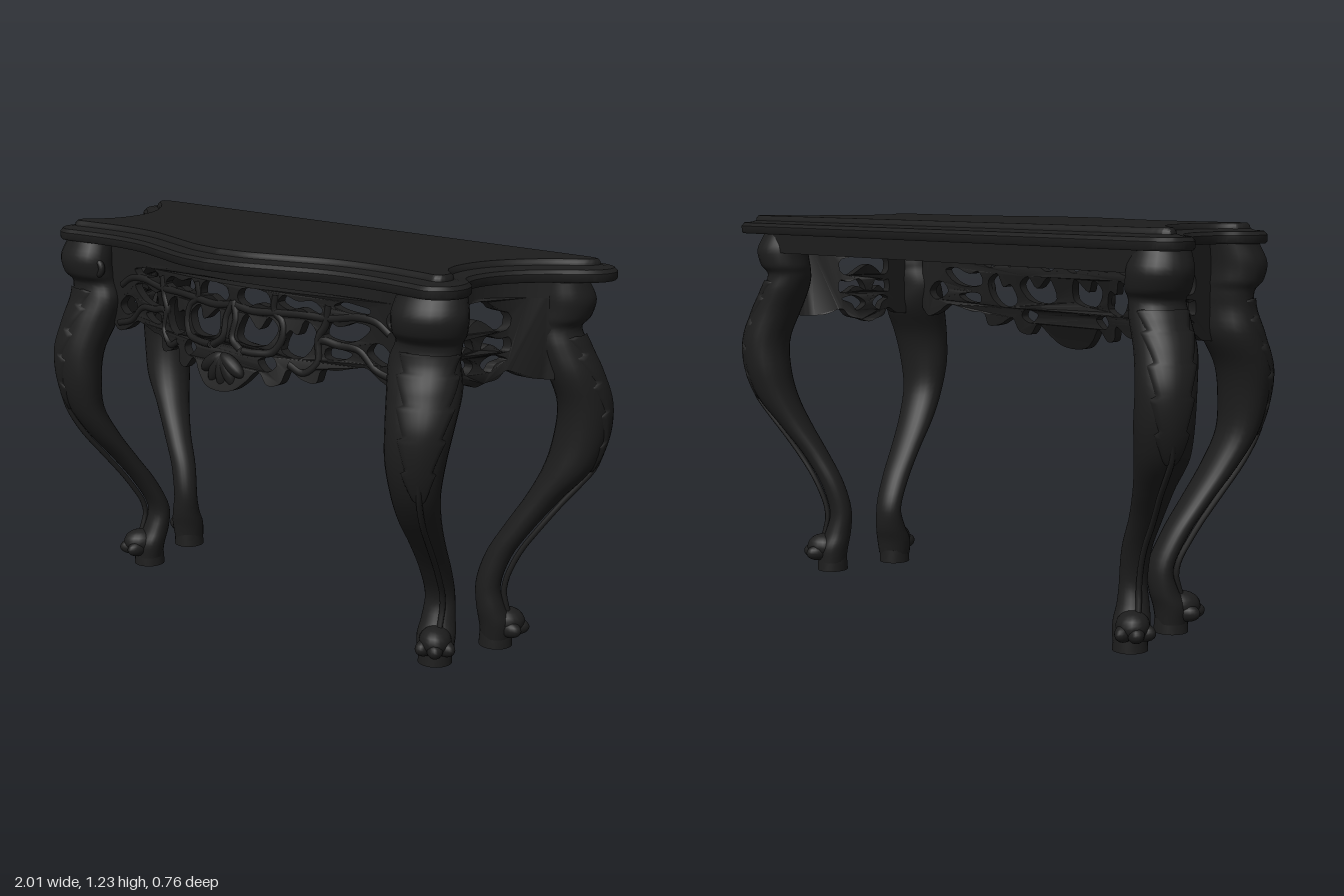
import * as THREE from 'three';
import { toCreasedNormals } from 'three/addons/utils/BufferGeometryUtils.js';

const V3 = (x, y, z) => new THREE.Vector3(x, y, z);
const V2 = (p) => new THREE.Vector2(p[0], p[1]);

// Surface through rings of points, ordered bottom to top
function loft(rings, closed = true) {
  const n = rings[0].length, pos = [], idx = [];
  rings.forEach((r) => r.forEach((p) => pos.push(p.x, p.y, p.z)));
  for (let i = 0; i < rings.length - 1; i++) {
    for (let j = 0; j < (closed ? n : n - 1); j++) {
      const a = i * n + j, b = i * n + ((j + 1) % n);
      idx.push(a, a + n, b, b, a + n, b + n);
    }
  }
  const g = new THREE.BufferGeometry();
  g.setAttribute('position', new THREE.Float32BufferAttribute(pos, 3));
  g.setIndex(idx);
  g.computeVertexNormals();
  return g;
}

// Mirror across x, keeping faces outward
function mirrored(geo) {
  const g = geo.index ? geo.toNonIndexed() : geo.clone();
  g.scale(-1, 1, 1);
  for (const a of Object.values(g.attributes)) {
    const s = a.itemSize;
    for (let i = 0; i < a.count; i += 3) {
      for (let k = 0; k < s; k++) {
        const u = (i + 1) * s + k, w = (i + 2) * s + k;
        [a.array[u], a.array[w]] = [a.array[w], a.array[u]];
      }
    }
  }
  return g;
}

// Smooth path or closed hole through flat points
const smooth2 = (pts, closed, n) =>
  new THREE.CatmullRomCurve3(pts.map((p) => V3(p[0], p[1], 0)), closed).getPoints(n).map((p) => new THREE.Vector2(p.x, p.y));
const flip = (pts) => pts.map(([x, y]) => [-x, y]).reverse();

// Apron, symmetric about x = 0 and bent by a placing rule: pierced lattice below a plain band
const BAND = 1.122, DEPTH = 0.03;
function apronParts(half, lower, holes, middle, place) {
  const across = Array.from({ length: 41 }, (_, i) => half - (i / 20) * half);
  const edge = smooth2([...flip(lower), ...lower.slice(1)], false, 120);
  const shape = new THREE.Shape([...edge, ...across.map((x) => new THREE.Vector2(x, BAND))]);
  for (const h of [...holes, ...holes.map(flip), ...middle]) shape.holes.push(new THREE.Path(smooth2(h, true, 28).slice(0, -1)));
  const lattice = new THREE.ExtrudeGeometry(shape, { depth: DEPTH, bevelEnabled: false });
  const p = lattice.attributes.position;
  for (let i = 0; i < p.count; i++) p.setXYZ(i, ...place(p.getX(i), p.getY(i), p.getZ(i)));
  lattice.computeVertexNormals();
  const bandRing = (y) => [
    ...across.map((x) => V3(...place(x, y, DEPTH))),
    ...across.slice().reverse().map((x) => V3(...place(x, y, 0)))];
  return [['piercedPanel', toCreasedNormals(lattice, 0.7)], ['plainBand', toCreasedNormals(loft([bandRing(BAND), bandRing(1.171)]), 0.7)]];
}

// Leg rows: y, centre x, centre z, half width x, half width z
const FRONT_LEG = [
  [0.03, 0.65, 0.05, 0.052, 0.05], [0.08, 0.648, 0.045, 0.058, 0.052], [0.13, 0.64, 0.025, 0.052, 0.045],
  [0.2, 0.636, 0.014, 0.048, 0.035], [0.3, 0.652, 0.06, 0.05, 0.039], [0.4, 0.676, 0.13, 0.056, 0.042],
  [0.5, 0.702, 0.203, 0.066, 0.051], [0.6, 0.725, 0.255, 0.076, 0.057], [0.7, 0.735, 0.27, 0.09, 0.07],
  [0.8, 0.74, 0.26, 0.1, 0.08], [0.9, 0.725, 0.222, 0.108, 0.09], [0.98, 0.71, 0.205, 0.108, 0.073],
  [1.03, 0.72, 0.2, 0.1, 0.07], [1.06, 0.73, 0.212, 0.108, 0.086], [1.11, 0.735, 0.218, 0.112, 0.09], [1.17, 0.73, 0.202, 0.1, 0.08]];
const BACK_LEG = [
  [0.03, 0.7, -0.19, 0.05, 0.05], [0.08, 0.7, -0.185, 0.055, 0.052], [0.13, 0.692, -0.17, 0.048, 0.045],
  [0.2, 0.685, -0.162, 0.042, 0.038], [0.3, 0.71, -0.177, 0.044, 0.04], [0.4, 0.766, -0.203, 0.048, 0.045],
  [0.5, 0.828, -0.24, 0.056, 0.058], [0.6, 0.886, -0.275, 0.077, 0.073], [0.7, 0.91, -0.295, 0.083, 0.08],
  [0.8, 0.915, -0.295, 0.081, 0.084], [0.9, 0.89, -0.27, 0.082, 0.088], [0.98, 0.855, -0.255, 0.08, 0.085],
  [1.03, 0.84, -0.25, 0.076, 0.078], [1.06, 0.85, -0.258, 0.09, 0.087], [1.11, 0.86, -0.262, 0.093, 0.09], [1.17, 0.855, -0.25, 0.08, 0.075]];

export function createModel() {
  const model = new THREE.Group();
  const black = new THREE.MeshStandardMaterial({ color: 0x1d1d1d });
  black.name = 'black lacquer';
  const add = (parent, name, geo) => {
    const m = new THREE.Mesh(geo, black);
    m.name = name;
    parent.add(m);
  };
  const group = (name) => {
    const g = new THREE.Group();
    g.name = name;
    model.add(g);
    return g;
  };

  // Tabletop: moulded edge around a serpentine outline
  const top = group('tabletop');
  const corner = [[0.88, -0.38], [0.94, -0.372], [0.983, -0.34], [0.99, -0.29], [0.965, -0.24], [0.87, -0.16], [0.795, -0.06],
    [0.77, 0.03], [0.78, 0.1], [0.82, 0.14], [0.84, 0.19], [0.83, 0.25], [0.78, 0.29], [0.7, 0.285], [0.55, 0.275],
    [0.4, 0.287], [0.25, 0.33], [0.12, 0.368], [0, 0.382]];
  const half = [V2([0, -0.38]), V2([0.4, -0.38]), V2([0.7, -0.38]), ...smooth2(corner, false, 90)];
  const outline = [...half, ...half.slice(1, -1).reverse().map((p) => new THREE.Vector2(-p.x, p.y))];
  const n = outline.length;
  const insetRing = (d) => outline.map((p, i) => {
    const t = outline[(i + 1) % n].clone().sub(outline[(i + n - 1) % n]).normalize();
    return new THREE.Vector2(p.x - t.y * d, p.y + t.x * d);
  });
  const profile = [[0.004, 1.17], [0, 1.176], [0, 1.195], [0.01, 1.206], [0.035, 1.208], [0.05, 1.213], [0.052, 1.222], [0.06, 1.23]];
  add(top, 'mouldedEdge', toCreasedNormals(loft(profile.map(([d, y]) => insetRing(d).map((p) => V3(p.x, y, p.y)))), 0.6));
  const topFace = new THREE.ShapeGeometry(new THREE.Shape(insetRing(0.06).map((p) => new THREE.Vector2(p.x, -p.y))));
  add(top, 'topFace', topFace.rotateX(-Math.PI / 2).translate(0, 1.23, 0));
  const underside = new THREE.ShapeGeometry(new THREE.Shape(insetRing(0.004)));
  add(top, 'underside', underside.rotateX(Math.PI / 2).translate(0, 1.17, 0));

  // Cabriole legs with leaf carving, loose shin tendril and paw foot; skew widens the section across the knee
  function buildLeg(name, rows, dx, dz, skew) {
    const centre = new THREE.CatmullRomCurve3(rows.map((r) => V3(r[1], r[0], r[2])));
    const size = new THREE.CatmullRomCurve3(rows.map((r) => V3(r[3], 0, r[4])));
    const facing = Math.atan2(dz, dx);
    const skin = (t, a, off) => {
      const c = centre.getPoint(t), s = size.getPoint(t);
      return V3(c.x + (s.x + off) * Math.cos(a), c.y, c.z + (s.z + off) * Math.sin(a + skew));
    };
    const parts = [];
    const rings = [];
    for (let i = 0; i <= 64; i++) rings.push(Array.from({ length: 24 }, (_, j) => skin(i / 64, (j / 24) * Math.PI * 2, 0)));
    parts.push(['curvedLeg', loft(rings)]);

    const leaf = [];
    for (let i = 0; i <= 48; i++) {
      const f = i / 48, w = (0.25 + 0.85 * Math.sqrt(f)) * (0.8 + 0.35 * ((f * 5) % 1));
      leaf.push(Array.from({ length: 11 }, (_, j) => {
        const k = (j - 5) / 5;
        return skin(0.46 + 0.31 * f, facing + k * w, Math.abs(k) === 1 ? -0.004 : 0.006 + 0.003 * (1 - Math.abs(k)));
      }));
    }
    parts.push(['leafCarving', loft(leaf, false)]);

    const shin = Array.from({ length: 12 }, (_, i) => skin(0.11 + 0.39 * (i / 11), facing, 0.018 * Math.sin((Math.PI * i) / 11)));
    parts.push(['shinTendril', new THREE.TubeGeometry(new THREE.CatmullRomCurve3(shin), 30, 0.009, 8)]);

    const [, fx, fz] = rows[0];
    parts.push(['footBlock', toCreasedNormals(new THREE.CylinderGeometry(0.05, 0.053, 0.045, 24).translate(fx, 0.0225, fz), 0.7)]);
    const ball = (part, a, reach, y, size) => parts.push([part,
      new THREE.SphereGeometry(1, 18, 12).scale(...size).rotateY(-a).translate(fx + Math.cos(a) * reach, y, fz + Math.sin(a) * reach)]);
    ball('paw', facing, 0.03, 0.08, [0.06, 0.044, 0.05]);
    for (const s of [-1, 0, 1]) ball('toe', facing + s * 0.6, s ? 0.05 : 0.06, 0.062, [0.044, 0.027, 0.026]);

    const left = group(name + 'Left'), right = group(name + 'Right');
    for (const [part, geo] of parts) {
      add(left, part, geo);
      add(right, part, mirrored(geo));
    }
  }
  buildLeg('frontLeg', FRONT_LEG, 0.61, 0.79, -0.15);
  buildLeg('backLeg', BACK_LEG, 0.83, -0.56, 0.08);

  // Front apron: pierced board on a serpentine line, its lower middle leaning forward
  const front = group('frontApron');
  const bow = (x, y) => {
    const swell = 0.5 * (1 + Math.cos((Math.PI * Math.min(Math.abs(x), 0.6)) / 0.6));
    return 0.185 + swell * (0.055 + 0.28 * Math.max(0, 1.05 - y));
  };
  const frontEdge = [[0, 0.79], [0.06, 0.8], [0.1, 0.83], [0.14, 0.868], [0.18, 0.83], [0.22, 0.84], [0.24, 0.885], [0.29, 0.86],
    [0.335, 0.855], [0.35, 0.895], [0.4, 0.9], [0.46, 0.915], [0.5, 0.92], [0.55, 0.89], [0.6, 0.875], [0.63, 0.9]];
  const frontHoles = [
    [[0.38, 1.09], [0.44, 1.075], [0.5, 1.078], [0.51, 1.092], [0.46, 1.102], [0.41, 1.105]],
    [[0.18, 1.08], [0.22, 1.06], [0.26, 1.07], [0.31, 1.055], [0.34, 1.07], [0.31, 1.095], [0.25, 1.09], [0.2, 1.103]],
    [[0.02, 1.07], [0.06, 1.05], [0.1, 1.065], [0.15, 1.062], [0.14, 1.1], [0.03, 1.1]],
    [[0.345, 1.0], [0.4, 0.985], [0.47, 1.0], [0.51, 1.04], [0.46, 1.05], [0.4, 1.03], [0.36, 1.04]],
    [[0.21, 0.94], [0.27, 0.92], [0.31, 0.95], [0.32, 1.01], [0.28, 1.035], [0.26, 0.99], [0.23, 1.0]],
    [[0.04, 0.96], [0.09, 0.94], [0.16, 0.95], [0.19, 1.0], [0.15, 1.03], [0.12, 0.99], [0.06, 1.03]],
    [[0.36, 0.935], [0.42, 0.935], [0.45, 0.955], [0.4, 0.965], [0.36, 0.96]],
    [[0.135, 0.9], [0.17, 0.87], [0.2, 0.89], [0.185, 0.915]],
    [[0.5, 0.965], [0.56, 0.935], [0.59, 0.96], [0.56, 0.995], [0.52, 0.995]]];
  for (const [part, geo] of apronParts(0.63, frontEdge, frontHoles, [], (x, y, z) => [x, y, z + bow(x, y) - 0.01])) add(front, part, geo);

  // Raised vine scrolls over the lattice
  const vines = [
    [[0.58, 1.03], [0.53, 1.06], [0.46, 1.065], [0.36, 1.05], [0.26, 1.05], [0.17, 1.045], [0.08, 1.04], [0, 1.05]],
    [[0.6, 0.9], [0.53, 0.92], [0.47, 0.97], [0.4, 0.975], [0.335, 0.98], [0.335, 0.92], [0.29, 0.88], [0.24, 0.9]],
    [[0.36, 1.09], [0.35, 1.03], [0.33, 0.99], [0.335, 0.94]],
    [[0.17, 1.1], [0.165, 1.05], [0.2, 1.02], [0.205, 0.97], [0.18, 0.93], [0.12, 0.92], [0.07, 0.92]],
    [[0, 1.06], [0.02, 1.01], [0.02, 0.95], [0.06, 0.92]]];
  for (const v of vines) {
    const path = new THREE.CatmullRomCurve3(v.map(([x, y]) => V3(x, y, bow(x, y) + 0.016)));
    const geo = new THREE.TubeGeometry(path, 40, 0.012, 7);
    add(front, 'vineScroll', geo);
    add(front, 'vineScroll', mirrored(geo));
  }
  // Small volute where the apron meets each front leg
  const volute = new THREE.TorusGeometry(0.022, 0.011, 8, 20).translate(0.645, 1.085, 0.255);
  add(front, 'voluteLeft', volute);
  add(front, 'voluteRight', mirrored(volute));
  // Shell at the middle of the front apron
  for (let i = -2; i <= 2; i++) {
    const rib = new THREE.SphereGeometry(1, 14, 10).scale(0.024, 0.055, 0.022).translate(0, -0.05, 0).rotateZ(i * 0.5);
    add(front, 'shellRib', rib.translate(0, 0.9, bow(0, 0.86) + 0.016));
  }

  // Side aprons: pierced boards curving out to the back legs
  const sweep = (z) => 0.685 + 4 * Math.max(0, 0.02 - z) ** 2;
  const sideEdge = [[0, 0.86], [0.03, 0.87], [0.06, 0.88], [0.08, 0.905], [0.12, 0.885], [0.165, 0.88]];
  const sideHoles = [
    [[0.012, 0.97], [0.04, 0.985], [0.07, 0.962], [0.085, 0.965], [0.083, 1.005], [0.06, 1.0], [0.03, 1.01]],
    [[0.012, 0.925], [0.045, 0.952], [0.08, 0.94], [0.055, 0.925], [0.04, 0.9]]];
  const heart = [[0, 1.06], [0.028, 1.045], [0.055, 1.023], [0.08, 1.03], [0.083, 1.075], [0.05, 1.088], [0.03, 1.11]];
  const side = apronParts(0.165, sideEdge, sideHoles, [[...heart, ...flip(heart).slice(0, -1)]],
    (u, y, d) => [d + sweep(-u - 0.02), y, -u - 0.02]);
  const sideLeft = group('sideApronLeft'), sideRight = group('sideApronRight');
  for (const [part, geo] of side) {
    add(sideLeft, part, geo);
    add(sideRight, part, mirrored(geo));
  }

  // Plain rail under the back edge
  add(model, 'backRail', new THREE.BoxGeometry(1.66, 0.065, 0.03).translate(0, 1.1375, -0.31));
  return model;
}
